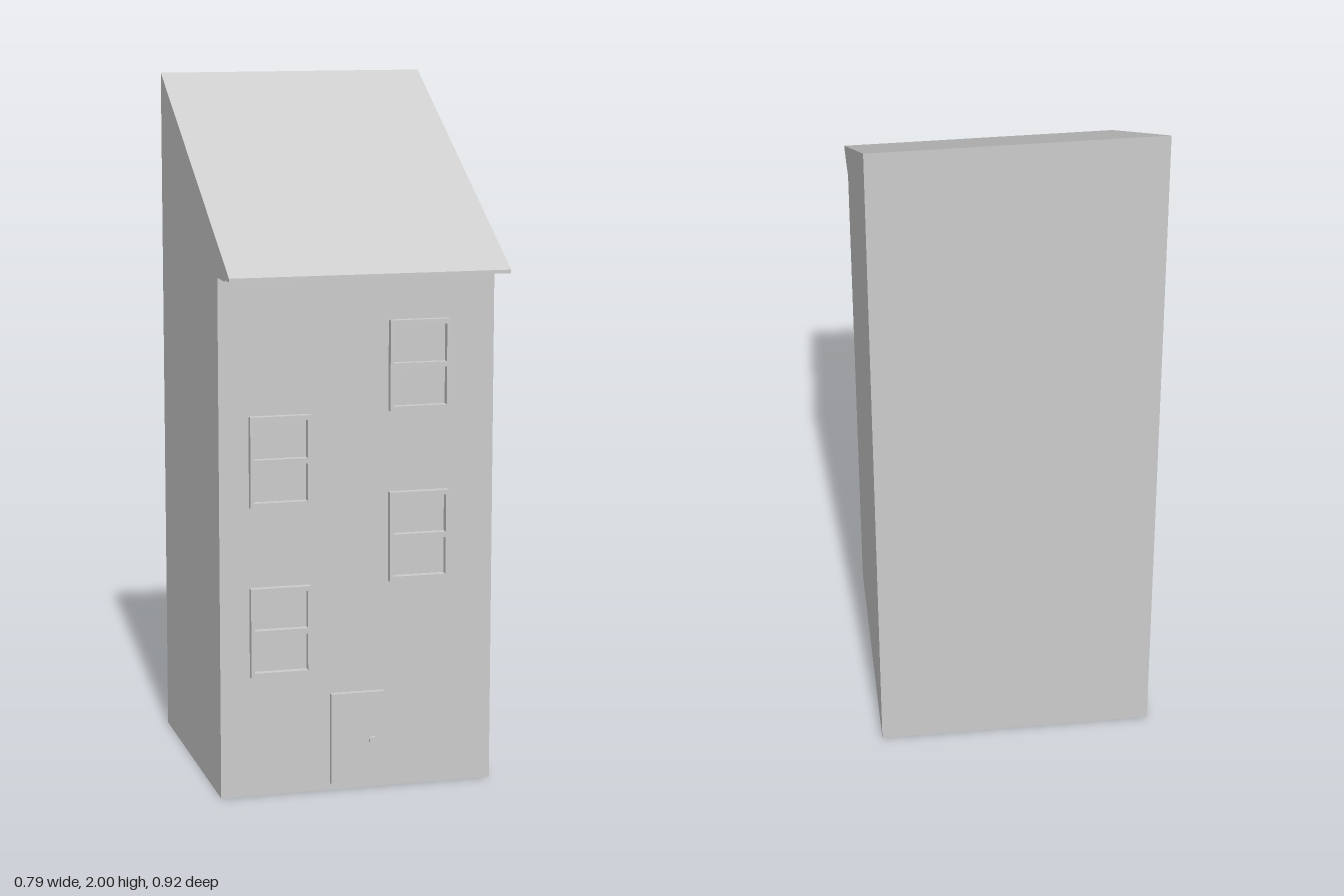
import * as THREE from 'three';

const material = new THREE.MeshStandardMaterial({ color: 0xcccccc, flatShading: true });
const WALL_Z = 0.312;

function addMesh(parent, name, geometry, x = 0, y = 0, z = 0) {
  const mesh = new THREE.Mesh(geometry, material);
  mesh.name = name;
  mesh.position.set(x, y, z);
  parent.add(mesh);
  return mesh;
}

const polygon = (points) => new THREE.Shape(points.map(([x, y]) => new THREE.Vector2(x, y)));

const rectangle = (w, h, y = 0) => [
  [-w / 2, y - h / 2], [w / 2, y - h / 2], [w / 2, y + h / 2], [-w / 2, y + h / 2],
];

// Side profile given as (z, y), extruded across the width of the house
function acrossWidth(profile, width) {
  return new THREE.ExtrudeGeometry(polygon(profile), { depth: width, bevelEnabled: false })
    .translate(0, 0, -width / 2)
    .rotateY(-Math.PI / 2);
}

// Sash window frame with two openings
function windowFrame() {
  const shape = polygon(rectangle(0.174, 0.257));
  for (const y of [-0.061, 0.061]) shape.holes.push(polygon(rectangle(0.154, 0.107, y)));
  return new THREE.ExtrudeGeometry(shape, { depth: 0.021, bevelEnabled: false });
}

export function createModel() {
  const house = new THREE.Group();
  house.name = 'house';

  // Walls and single-pitch roof with a front overhang
  addMesh(house, 'wallsAndRoof', acrossWidth([
    [-0.457, 0], [WALL_Z, 0], [WALL_Z, 1.482], [0.41, 1.482],
    [0.41, 1.487], [0.459, 1.487], [0.459, 1.497], [-0.457, 2],
  ], 0.794));

  // Staggered windows
  const frame = windowFrame();
  for (const [x, y] of [[-0.225, 0.478], [0.177, 0.733], [-0.225, 0.965], [0.177, 1.221]]) {
    addMesh(house, 'windowFrame', frame, x, y, WALL_Z);
  }

  // Door with knob
  const door = new THREE.Group();
  door.name = 'door';
  house.add(door);
  addMesh(door, 'doorPanel', new THREE.BoxGeometry(0.155, 0.265, 0.018), -0.002, 0.153, WALL_Z + 0.008);
  const knob = (radius, length) =>
    new THREE.CylinderGeometry(radius, radius, length, 8).rotateX(Math.PI / 2).rotateZ(Math.PI / 8);
  addMesh(door, 'knobStem', knob(0.005, 0.016), 0.039, 0.147, 0.334);
  addMesh(door, 'knob', knob(0.012, 0.013), 0.039, 0.147, 0.3455);

  return house;
}
